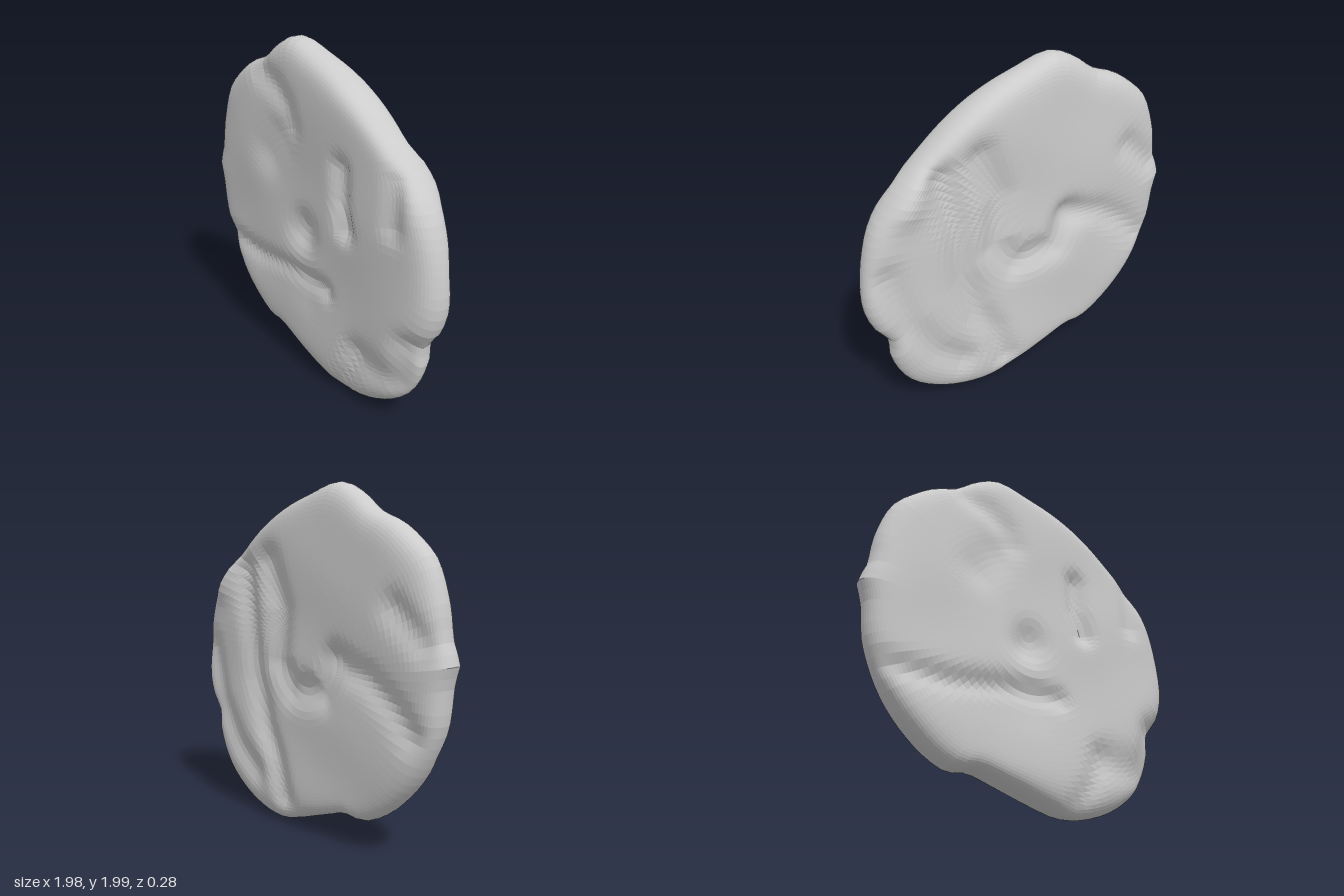
import * as THREE from 'three';

const CY = 1; // height of the disc centre

// Irregular silhouette, clockwise seen from the front
const outline = [
  [-0.2, 2], [0, 1.95], [0.2, 1.88], [0.4, 1.77], [0.6, 1.62], [0.78, 1.46], [0.9, 1.3], [0.97, 1.08],
  [0.99, 0.82], [0.95, 0.68], [0.87, 0.56], [0.87, 0.45], [0.82, 0.3], [0.74, 0.19], [0.58, 0.08], [0.4, 0.02],
  [0.25, 0.01], [0.1, 0.05], [-0.1, 0.12], [-0.3, 0.18], [-0.42, 0.17], [-0.55, 0.23], [-0.7, 0.36], [-0.83, 0.53],
  [-0.93, 0.76], [-0.96, 1], [-0.99, 1.1], [-0.95, 1.2], [-0.92, 1.4], [-0.84, 1.61], [-0.75, 1.7], [-0.62, 1.79],
  [-0.47, 1.85], [-0.33, 1.95],
];

// Relief strokes: path of x,y pairs, half width w, depth d (negative = raised)
const frontRelief = [
  { p: [-0.85, 0.63, -0.5, 0.61, -0.2, 0.64, 0.18, 0.64], w: 0.06, d: 0.035 },      // long crease
  { p: [-0.7, 0.56, 0, 0.56], w: 0.12, d: 0.015 },                                  // slope below the crease
  { p: [-0.02, 0.92, -0.01, 0.94], w: 0.1, d: 0.06 },                               // middle pit
  { p: [0.31, 1.4, 0.32, 1.22, 0.36, 1.08], w: 0.065, d: 0.05 },                    // upright pit
  { p: [-0.33, 1.32, -0.25, 1.42], w: 0.13, d: 0.035 },                             // wide dent
  { p: [-0.42, 1.77, -0.28, 1.72, -0.16, 1.62, -0.13, 1.54], w: 0.08, d: 0.03 },    // upper crease
  { p: [0.72, 1.45, 0.72, 1.22], w: 0.07, d: 0.03 },                                // side dent
  { p: [0.3, 0.06, 0.4, 0.2, 0.45, 0.36], w: 0.07, d: 0.025 },                      // lower crease
  { p: [0.52, 0.33, 0.7, 0.31], w: 0.11, d: 0.035 },                                // lower recess
  { p: [0.85, 0.55, 0.82, 0.32], w: 0.09, d: 0.07 },                                // edge notch
];
const backRelief = [
  { p: [0.3, 1.56, 0.2, 1.3, 0.22, 1, 0.1, 0.84, -0.16, 0.86, -0.26, 1.02], w: 0.09, d: 0.05 },   // ring groove
  { p: [0.53, 1.5, 0.47, 1.2, 0.43, 0.86, 0.35, 0.58, 0.25, 0.4, 0.18, 0.18], w: 0.08, d: 0.05 }, // long groove
  { p: [-0.26, 1.05, -0.5, 0.98, -0.68, 0.85, -0.8, 0.72], w: 0.08, d: 0.035 },     // side crease
  { p: [-0.68, 1.36, -0.86, 1.2], w: 0.08, d: 0.035 },                              // small dent
  { p: [0.88, 1, 0.78, 0.68, 0.62, 0.42, 0.46, 0.28], w: 0.09, d: 0.04 },           // outer groove
  { p: [0.72, 1.5, 0.75, 1.42], w: 0.1, d: -0.045 },                                // edge lump
];

function segmentDistance(x, y, ax, ay, bx, by) {
  const dx = bx - ax, dy = by - ay;
  const t = THREE.MathUtils.clamp(((x - ax) * dx + (y - ay) * dy) / (dx * dx + dy * dy), 0, 1);
  return Math.hypot(x - ax - t * dx, y - ay - t * dy);
}

function reliefDepth(strokes, x, y) {
  let sum = 0;
  for (const { p, w, d } of strokes) {
    let dist = Infinity;
    for (let i = 0; i + 3 < p.length; i += 2)
      dist = Math.min(dist, segmentDistance(x, y, p[i], p[i + 1], p[i + 2], p[i + 3]));
    sum += d * Math.exp(-Math.pow(dist / w, 2));
  }
  return 0.08 * Math.tanh(sum / 0.08);
}

// Rings run from the front centre, round the blunt rim, to the back centre
function discGeometry(segments, rings) {
  const curve = new THREE.CatmullRomCurve3(outline.map(([x, y]) => new THREE.Vector3(x, y, 0)), true);
  const rim = curve.getSpacedPoints(segments).slice(0, segments);
  const positions = [], index = [];
  for (let j = 0; j <= rings; j++) {
    const t = (j / rings) * Math.PI;
    const r = Math.sin(t);
    const front = j <= rings / 2;
    const dome = Math.sqrt(Math.max(0, 1 - Math.pow(r, 18)));
    rim.forEach((o, i) => {
      // inner rings relax to an even circle so rim notches do not run inwards
      const angle = Math.atan2(0.99, -0.2) - (i / segments) * Math.PI * 2;
      const blend = r ** 4;
      const x = r * THREE.MathUtils.lerp(0.94 * Math.cos(angle), o.x, blend);
      const y = CY + r * THREE.MathUtils.lerp(0.94 * Math.sin(angle), o.y - CY, blend);
      const ripple = 0.004 * (Math.sin(7 * x + 4 * y) + Math.sin(9 * y - 5 * x));
      const half = front
        ? 0.13 + ripple - reliefDepth(frontRelief, x, y)
        : 0.115 + ripple - reliefDepth(backRelief, x, y);
      positions.push(x, y, (front ? 1 : -1) * half * dome);
    });
  }
  for (let j = 0; j < rings; j++) {
    for (let i = 0; i < segments; i++) {
      const k = (i + 1) % segments;
      const a = j * segments + i, b = j * segments + k;
      const c = a + segments, d = b + segments;
      if (j > 0) index.push(a, b, c);
      if (j < rings - 1) index.push(b, d, c);
    }
  }
  const g = new THREE.BufferGeometry();
  g.setAttribute('position', new THREE.Float32BufferAttribute(positions, 3));
  g.setIndex(index);
  g.computeVertexNormals();
  return g;
}

export function createModel() {
  const group = new THREE.Group();
  group.name = 'lumpyDisc';
  const material = new THREE.MeshStandardMaterial({ color: 0xcccccc, flatShading: true });
  const disc = new THREE.Mesh(discGeometry(100, 64), material);
  disc.name = 'disc';
  group.add(disc);
  return group;
}
